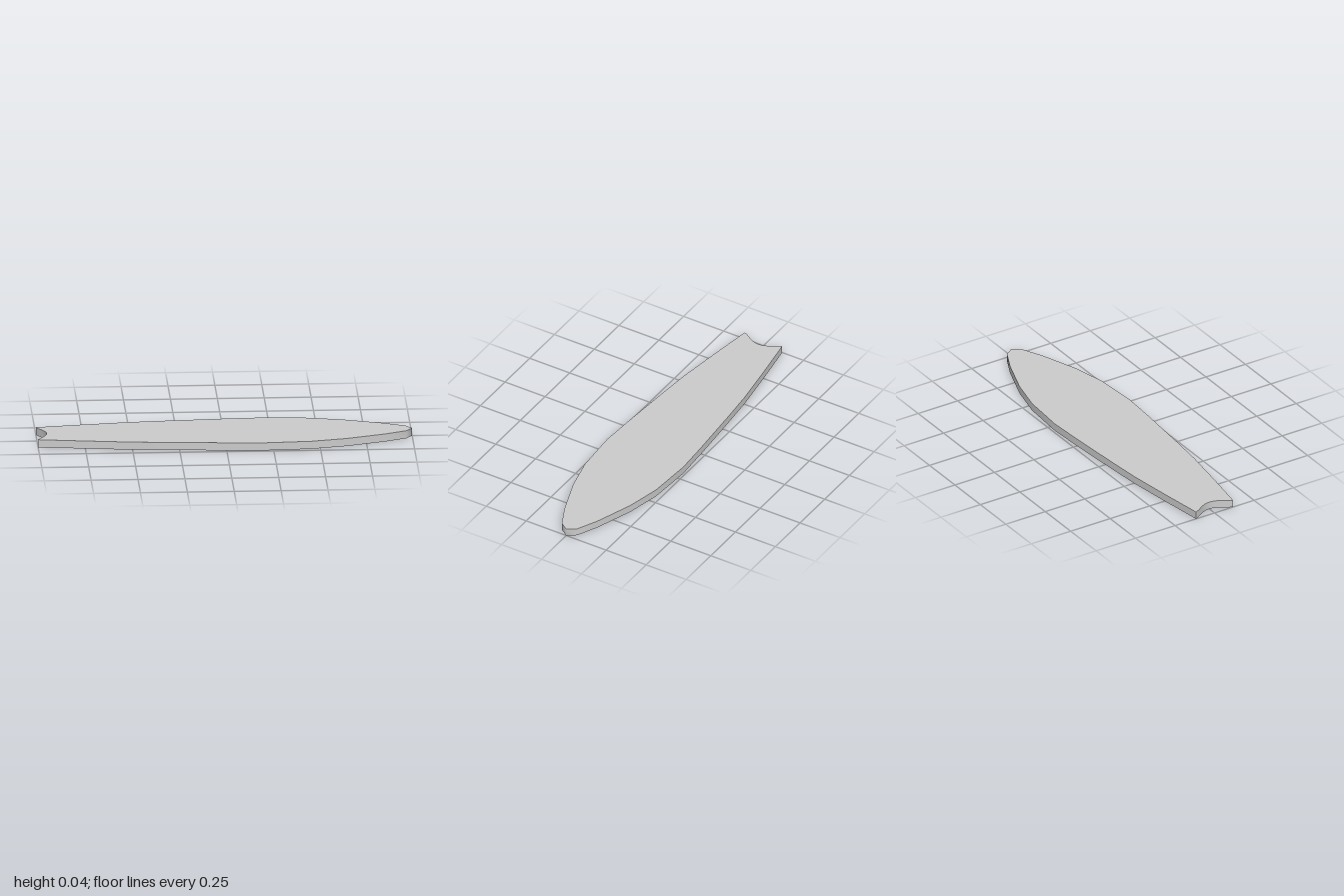
import * as THREE from 'three';
import { toCreasedNormals } from 'three/addons/utils/BufferGeometryUtils.js';

const THICKNESS = 0.042;

// Half outline from the middle of the tail notch to the nose: [x, half width]
const HALF_OUTLINE = [
  [-0.948, 0], [-0.953, 0.03], [-0.967, 0.06], [-0.99, 0.095], [-1, 0.117],
  [-0.76, 0.153], [-0.51, 0.187], [-0.3, 0.205], [0, 0.227], [0.2, 0.238],
  [0.45, 0.222], [0.64, 0.179], [0.85, 0.104], [0.967, 0.048], [1, 0],
];

export function createModel() {
  const group = new THREE.Group();
  group.name = 'surfboard';

  // Mirror the half outline to close the plan shape, counter-clockwise
  const lower = HALF_OUTLINE.map(([x, w]) => new THREE.Vector2(x, -w));
  const upper = HALF_OUTLINE.slice(1, -1).reverse().map(([x, w]) => new THREE.Vector2(x, w));
  const shape = new THREE.Shape([...lower, ...upper]);

  // Flat slab lying on the ground, smooth rails with sharp deck edges and tail tips
  const slab = new THREE.ExtrudeGeometry(shape, { depth: THICKNESS, bevelEnabled: false });
  slab.rotateX(-Math.PI / 2);
  const board = new THREE.Mesh(
    toCreasedNormals(slab, 1.3),
    new THREE.MeshStandardMaterial({ color: 0xcccccc }),
  );
  board.name = 'board';
  group.add(board);

  return group;
}
